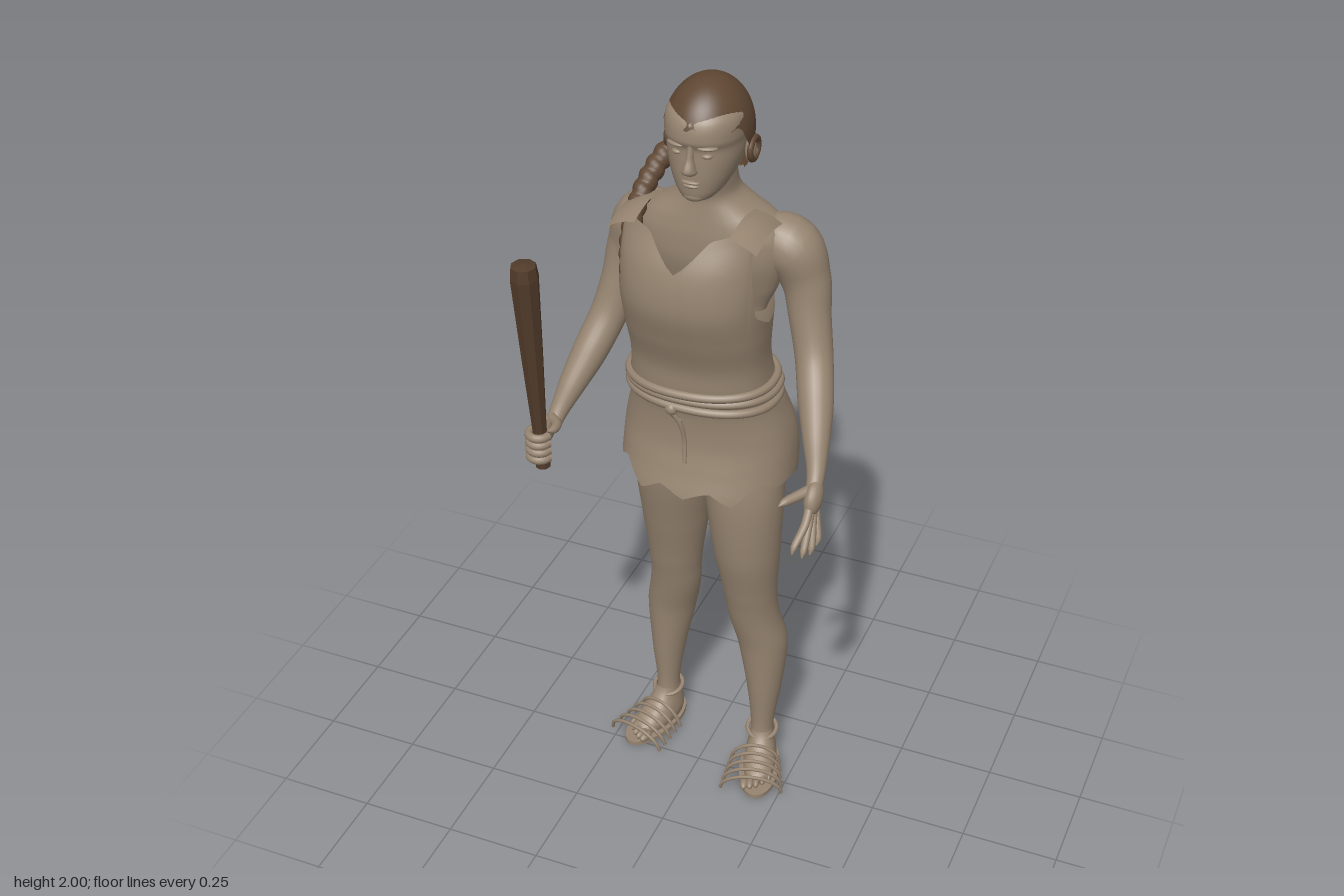
import * as THREE from 'three';

const TAU = Math.PI * 2;
const mat = (name, color) => Object.assign(new THREE.MeshStandardMaterial({ color, side: THREE.DoubleSide }), { name });
const V = (p) => new THREE.Vector3(p[0], p[1], p[2]);

// Smooth lookup in rows keyed by their first column
function at(rows, k) {
  let i = 0;
  while (i < rows.length - 2 && k > rows[i + 1][0]) i++;
  const [a, b, c, d] = [rows[Math.max(i - 1, 0)], rows[i], rows[i + 1], rows[Math.min(i + 2, rows.length - 1)]];
  const t = THREE.MathUtils.clamp((k - b[0]) / (c[0] - b[0]), 0, 1);
  return b.map((_, j) => b[j] + 0.5 * t * (c[j] - a[j] + t * (2 * a[j] - 5 * b[j] + 4 * c[j] - d[j] + t * (3 * (b[j] - c[j]) + d[j] - a[j]))));
}

// Straight-line lookup for ragged edges
function edge(rows, k) {
  let i = 0;
  while (i < rows.length - 2 && k > rows[i + 1][0]) i++;
  return THREE.MathUtils.mapLinear(k, rows[i][0], rows[i + 1][0], rows[i][1], rows[i + 1][1]);
}

// Grid surface from f(u, v); u may wrap around
function surface(f, nu, nv, wrap = true) {
  const pos = [], idx = [], w = wrap ? nu : nu + 1;
  for (let j = 0; j <= nv; j++) for (let i = 0; i < w; i++) pos.push(...f(i / nu, j / nv));
  for (let j = 0; j < nv; j++) for (let i = 0; i < nu; i++) {
    const a = j * w + i, b = j * w + (i + 1) % w;
    idx.push(a, b, b + w, a, b + w, a + w);
  }
  const g = new THREE.BufferGeometry();
  g.setAttribute('position', new THREE.Float32BufferAttribute(pos, 3));
  g.setIndex(idx);
  g.computeVertexNormals();
  return g;
}

// Point on a rounded cross-section; rows are [y, centreX, radiusX, zFront, zBack]
function ringPoint(rows, y, u, e = 1) {
  const [, cx, rx, zf, zb] = at(rows, y), s = Math.sin(u * TAU), c = Math.cos(u * TAU);
  const p = (n) => Math.sign(n) * Math.pow(Math.abs(n), e);
  return [cx + rx * p(s), y, (zf + zb) / 2 + (zf - zb) / 2 * p(c)];
}
const loft = (rows, e = 1, nu = 36, nv = 40) =>
  surface((u, v) => ringPoint(rows, THREE.MathUtils.lerp(rows[0][0], rows.at(-1)[0], v), u, e), nu, nv);

// Tapered tube through [x, y, z, radius]
function tube(pts, nu = 16, nv = 40, ripple = () => 1) {
  const curve = new THREE.CatmullRomCurve3(pts.map(V)), fr = curve.computeFrenetFrames(nv);
  const radii = pts.map((p, i) => [i, p[3]]);
  return surface((u, v) => {
    const j = Math.round(v * nv), r = at(radii, curve.getUtoTmapping(v) * (pts.length - 1))[1] * ripple(u, v);
    return curve.getPointAt(v).addScaledVector(fr.normals[j], r * Math.cos(u * TAU))
      .addScaledVector(fr.binormals[j], r * Math.sin(u * TAU)).toArray();
  }, nu, nv);
}

export function createModel() {
  const model = new THREE.Group();
  model.name = 'figure';
  const tan = mat('tan', 0x968470), brown = mat('hairBrown', 0x5f4733), wood = mat('clubWood', 0x513b2a);
  const add = (name, geo, m = tan, parent = model) => {
    const mesh = new THREE.Mesh(geo, m);
    mesh.name = name;
    parent.add(mesh);
    return mesh;
  };
  const blob = (name, p, s, m = tan, parent = model) => {
    const b = add(name, new THREE.SphereGeometry(1, 20, 14), m, parent);
    b.position.set(...p);
    b.scale.set(...s);
    return b;
  };

  // Head and face
  add('head', loft([[1.728, 0, 0.012, 0.03, -0.01], [1.736, 0, 0.036, 0.042, -0.05], [1.755, 0, 0.056, 0.047, -0.09], [1.79, 0, 0.074, 0.05, -0.13],
    [1.83, 0, 0.086, 0.05, -0.15], [1.865, 0, 0.09, 0.05, -0.165], [1.885, 0, 0.093, 0.058, -0.17], [1.93, 0, 0.09, 0.048, -0.165], [1.97, 0, 0.06, 0.01, -0.12]], 0.9, 40, 48));
  add('nose', loft([[1.803, 0, 0.004, 0.055, 0.04], [1.81, 0, 0.018, 0.071, 0.035], [1.82, 0, 0.015, 0.077, 0.035],
    [1.845, 0, 0.009, 0.064, 0.035], [1.88, 0, 0.008, 0.055, 0.035]], 1, 14, 16));
  blob('upperLip', [0, 1.785, 0.047], [0.023, 0.005, 0.01]);
  blob('lowerLip', [0, 1.775, 0.045], [0.02, 0.006, 0.01]);
  blob('chin', [0, 1.745, 0.033], [0.025, 0.014, 0.013]);
  for (const s of [-1, 1]) {
    blob('eye', [s * 0.035, 1.852, 0.037], [0.014, 0.007, 0.012]);
    blob('brow', [s * 0.038, 1.873, 0.042], [0.024, 0.006, 0.012]).rotation.y = s * 0.35;
    blob('ear', [s * 0.097, 1.83, -0.072], [0.012, 0.032, 0.02]);
    const lock = add('earLock', new THREE.TorusGeometry(0.025, 0.008, 8, 20), brown);
    lock.position.set(s * 0.102, 1.83, -0.08);
    lock.rotation.y = Math.PI / 2;
  }

  // Hair cap with fringe, and a twisted braid over the right shoulder
  const hairline = [[0, 1.915], [55, 1.908], [72, 1.9], [84, 1.85], [98, 1.785], [125, 1.76], [180, 1.755]];
  add('hairCap', surface((u, v) => {
    const phi = u * TAU, deg = Math.min(u, 1 - u) * 360, y = edge(hairline, deg) + 0.004 * Math.sin(phi * 18);
    const k = y - 1.87, th = (1 - v) * Math.acos(k / (k > 0 ? 0.13 : 0.16));
    return [0.102 * Math.sin(th) * Math.sin(phi), 1.87 + (Math.cos(th) > 0 ? 0.13 : 0.16) * Math.cos(th), -0.062 + 0.124 * Math.sin(th) * Math.cos(phi)];
  }, 90, 28), brown);
  add('braid', tube([[-0.01, 1.81, -0.16, 0.024], [-0.07, 1.80, -0.165, 0.026], [-0.125, 1.765, -0.125, 0.026], [-0.152, 1.71, -0.06, 0.025],
    [-0.158, 1.66, 0, 0.023], [-0.153, 1.6, 0.055, 0.021], [-0.148, 1.54, 0.092, 0.012]], 18, 110,
  (u, v) => 0.85 + 0.22 * Math.abs(Math.sin(v * 44 + u * Math.PI))), brown);

  // Neck, shoulders and upper back
  add('upperBody', loft([[1.42, 0, 0.14, -0.03, -0.13], [1.48, 0, 0.165, -0.015, -0.155], [1.55, 0, 0.185, 0, -0.182], [1.61, 0, 0.185, 0, -0.192],
    [1.65, 0, 0.155, -0.005, -0.185], [1.685, 0, 0.1, -0.01, -0.17], [1.715, 0, 0.066, -0.012, -0.155], [1.76, 0, 0.06, 0, -0.14], [1.8, 0, 0.06, 0, -0.13]], 0.9));

  // Sleeveless tunic, skirt and shoulder straps share one body profile
  const body = [[0.94, 0, 0.222, 0.105, -0.25], [1.0, 0, 0.222, 0.088, -0.25], [1.08, 0, 0.215, 0.07, -0.238], [1.18, 0, 0.19, 0.074, -0.2],
    [1.24, 0, 0.177, 0.1, -0.163], [1.32, 0, 0.17, 0.108, -0.137], [1.4, 0, 0.175, 0.135, -0.137], [1.5, 0, 0.182, 0.162, -0.16], [1.6, 0, 0.185, 0.152, -0.18], [1.7, 0, 0.185, 0.11, -0.18]];
  const top = [[0, 1.6], [20, 1.68], [33, 1.69], [55, 1.69], [60, 1.58], [68, 1.48], [90, 1.435], [118, 1.45], [140, 1.53], [180, 1.555]];
  const hem = [[0, 0.945], [15, 0.965], [30, 0.945], [50, 0.985], [75, 0.97], [100, 0.96], [140, 0.945], [180, 0.94]];
  const deg = (u) => Math.min(u, 1 - u) * 360;
  add('tunic', surface((u, v) => ringPoint(body, THREE.MathUtils.lerp(1.2, edge(top, deg(u)), v), u, 0.85), 96, 36));
  add('skirt', surface((u, v) => ringPoint(body, THREE.MathUtils.lerp(edge(hem, deg(u)) + 0.006 * Math.sin(u * 60), 1.23, v), u, 0.9), 96, 20));
  for (const s of [-1, 1]) add('shoulderStrap', surface((u, v) =>
    [s * (0.115 + 0.067 * u), 1.688 + 0.014 * Math.sin(v * Math.PI) - 0.025 * u * u, 0.105 - 0.165 * v], 8, 12, false));

  // Three rope belt turns and a hanging cord
  [1.25, 1.226, 1.202].forEach((y, i) => {
    const pts = Array.from({ length: 32 }, (_, k) => {
      const p = V(ringPoint(body, Math.max(y, 1.225), k / 32, 0.9));
      return p.set(p.x * 1.03, y + 0.006 * Math.sin(k / 32 * TAU + i), p.z * 1.03);
    });
    add('ropeBelt', new THREE.TubeGeometry(new THREE.CatmullRomCurve3(pts, true), 96, 0.011, 8, true));
  });
  blob('beltKnot', [-0.03, 1.2, 0.098], [0.016, 0.016, 0.014]);
  add('beltCord', tube([[-0.035, 1.2, 0.1, 0.006], [-0.012, 1.155, 0.088, 0.006], [-0.004, 1.1, 0.08, 0.006], [0, 1.045, 0.09, 0.005]], 8, 20));
  add('beltCord', tube([[-0.03, 1.2, 0.1, 0.006], [-0.028, 1.18, 0.093, 0.006], [-0.012, 1.165, 0.088, 0.005]], 8, 10));

  // Hips and legs; the right leg stands a little further back
  blob('hips', [0, 1.0, -0.1], [0.19, 0.13, 0.11]);
  for (const s of [-1, 1]) {
    const shift = s < 0 ? -0.068 : 0;
    const leg = [[0.07, 0.152, 0.034, -0.042, -0.122], [0.12, 0.152, 0.03, -0.048, -0.116], [0.25, 0.152, 0.046, -0.04, -0.142], [0.4, 0.143, 0.066, -0.03, -0.162],
      [0.5, 0.124, 0.068, -0.012, -0.142], [0.58, 0.118, 0.07, 0.005, -0.13], [0.72, 0.112, 0.086, 0.034, -0.132], [0.9, 0.105, 0.1, 0.045, -0.14], [1.05, 0.1, 0.1, 0.03, -0.16]];
    add(s < 0 ? 'rightLeg' : 'leftLeg', loft(leg.map(([y, x, rx, f, b]) => {
      const d = shift * Math.min(1, (1.15 - y) / 0.4);
      return [y, s * x, rx, f + d, b + d];
    }), 1, 32, 50));

    // Foot with toes, sole and strap hoops
    const foot = new THREE.Group();
    foot.name = s < 0 ? 'rightFoot' : 'leftFoot';
    foot.position.set(s * 0.152, 0, -0.082 + shift);
    foot.rotation.y = s * 0.26;
    model.add(foot);
    add('foot', loft([[0.012, 0, 0.042, 0.135, -0.046], [0.03, 0, 0.044, 0.135, -0.05], [0.05, 0, 0.04, 0.105, -0.048],
      [0.075, 0, 0.034, 0.06, -0.042], [0.11, 0, 0.03, 0.036, -0.036]], 0.9, 28, 16), tan, foot);
    for (let i = 0; i < 5; i++)
      blob('toe', [s * (-0.032 + i * 0.016), 0.024, 0.145 - i * i * 0.0025], [0.011 - i * 0.001, 0.012, 0.022], tan, foot);
    const sole = add('sole', new THREE.CylinderGeometry(1, 1, 0.012, 32), tan, foot);
    sole.scale.set(0.054, 1, 0.118);
    sole.position.set(0, 0.006, 0.058);
    for (let i = 0; i < 5; i++) {
      const z = 0.05 + i * 0.028, r = 0.066 + i * 0.004;
      const arc = Array.from({ length: 9 }, (_, k) => [-s * 0.012 + r * Math.cos(k / 8 * Math.PI), 0.018 + (0.068 - i * 0.003) * Math.sin(k / 8 * Math.PI), z + 0.012 * Math.sin(k / 8 * Math.PI), 0.0048]);
      add('sandalStrap', tube(arc, 7, 24), tan, foot);
    }
    const cuff = add('ankleStrap', new THREE.TorusGeometry(0.039, 0.006, 8, 28), tan, foot);
    cuff.position.y = 0.1;
    cuff.rotation.x = Math.PI / 2 + 0.25;

    // Arm
    add(s < 0 ? 'rightArm' : 'leftArm', tube([[0.09, 1.6, -0.105, 0.05], [0.18, 1.58, -0.115, 0.073], [0.222, 1.5, -0.118, 0.06], [0.242, 1.41, -0.1, 0.051],
      [0.266, 1.32, -0.07, 0.046], [0.294, 1.235, -0.012, 0.043], [0.318, 1.165, 0.045, 0.033], [0.335, 1.11, 0.088, 0.023], [0.341, 1.08, 0.115, 0.02]]
      .map(([x, y, z, r]) => [s * x, y, z, r]), 24, 50));
  }

  // Open left hand
  const palm = blob('leftPalm', [0.345, 1.062, 0.128], [0.022, 0.045, 0.034]);
  palm.rotation.x = -0.65;
  const fingers = [[0.335, 0.97, 0.24], [0.353, 0.952, 0.222], [0.364, 0.947, 0.197], [0.37, 0.957, 0.168]];
  fingers.forEach(([x, y, z], i) => add('leftFinger', tube([[0.343, 1.065 - i * 0.006, 0.142 - i * 0.01, 0.011],
    [0.345 + i * 0.004, 1.022 - i * 0.004, 0.182 - i * 0.015, 0.0105], [x, y + 0.012, z - 0.01, 0.0085], [x, y, z, 0.002]], 10, 18)));
  add('leftThumb', tube([[0.34, 1.08, 0.115, 0.014], [0.315, 1.075, 0.15, 0.013], [0.292, 1.072, 0.185, 0.01], [0.285, 1.07, 0.202, 0.002]], 10, 18));

  // Right hand closed around the club
  blob('rightPalm', [-0.348, 1.088, 0.145], [0.024, 0.038, 0.042]);
  for (let i = 0; i < 4; i++) {
    const arc = Array.from({ length: 7 }, (_, k) => {
      const a = Math.PI + 0.5 + k * 0.68;
      return [-0.338 - 0.026 * Math.sin(a + 1.2), 1.045 + i * 0.021, 0.19 + 0.027 * Math.cos(a + 1.2), k === 6 ? 0.004 : 0.0105];
    });
    add('rightFinger', tube(arc, 10, 22));
  }
  add('rightThumb', tube([[-0.34, 1.11, 0.12, 0.013], [-0.312, 1.115, 0.148, 0.013], [-0.305, 1.12, 0.18, 0.01], [-0.312, 1.125, 0.2, 0.003]], 10, 16));

  // Faceted wooden club
  const profile = [[0, 0], [0.019, 0], [0.017, 0.04], [0.018, 0.11], [0.027, 0.32], [0.035, 0.54], [0.031, 0.572], [0, 0.578]];
  const clubGeo = new THREE.LatheGeometry(profile.map((p) => new THREE.Vector2(...p)), 8).toNonIndexed();
  clubGeo.computeVertexNormals();
  const club = add('club', clubGeo, wood);
  club.position.set(-0.335, 1.01, 0.185);
  club.rotation.set(0.045, 0, 0.021);
  return model;
}
